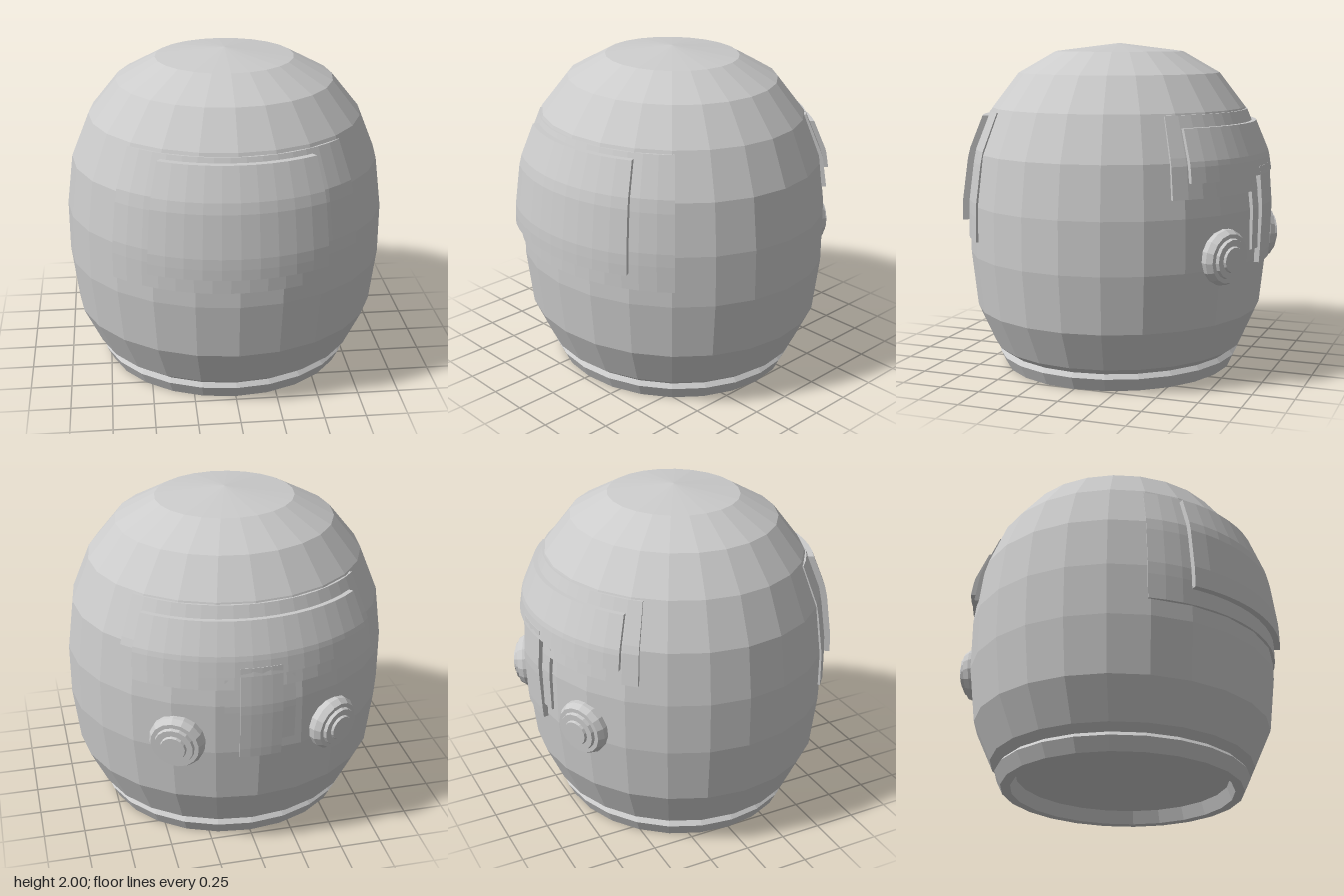
import * as THREE from 'three';

const DEPTH = 0.94; // the helmet is slightly shallower than wide
const SIDES = 24;
const material = new THREE.MeshStandardMaterial({ color: 0xcccccc, flatShading: true });

// Shell profile as [radius, height], bottom to top
const PROFILE = [
  [0.6, 0.1], [0.775, 0.105], [0.83, 0.145], [0.94, 0.38], [0.98, 0.72], [0.98, 1.03],
  [0.94, 1.34], [0.83, 1.61], [0.66, 1.82], [0.42, 1.95], [0, 2],
];

function shellRadius(y) {
  const i = PROFILE.findIndex((p) => p[1] >= y);
  const [r0, y0] = PROFILE[i - 1];
  const [r1, y1] = PROFILE[i];
  return r0 + ((r1 - r0) * (y - y0)) / (y1 - y0);
}

function add(parent, name, geometry) {
  const mesh = new THREE.Mesh(geometry, material);
  mesh.name = name;
  parent.add(mesh);
  return mesh;
}

function lathe(points, sides) {
  return new THREE.LatheGeometry(points.map(([r, y]) => new THREE.Vector2(r, y)), sides);
}

// A slab wrapped over the shell: half angle in degrees, height range, lift at bottom and top
function wrappedPlate(halfAngle, y0, y1, lift0, lift1 = lift0) {
  const columns = Math.max(4, Math.round(halfAngle / 3));
  const geometry = new THREE.BoxGeometry(1, 1, 1, columns, 10, 1);
  const pos = geometry.attributes.position;
  for (let i = 0; i < pos.count; i++) {
    const t = pos.getY(i) + 0.5;
    const y = y0 + (y1 - y0) * t;
    const lift = pos.getZ(i) > 0 ? lift0 + (lift1 - lift0) * t : -0.04;
    const r = shellRadius(y) + lift;
    const a = THREE.MathUtils.degToRad(pos.getX(i) * 2 * halfAngle);
    pos.setXYZ(i, r * Math.sin(a), y, r * Math.cos(a) * DEPTH);
  }
  geometry.computeVertexNormals();
  return geometry;
}

export function createModel() {
  const model = new THREE.Group();
  model.name = 'helmet';

  // Faceted shell
  add(model, 'shell', lathe(PROFILE, SIDES).scale(1, 1, DEPTH));

  // Neck collar with a recessed floor
  const collar = [[0, 0.08], [0.67, 0.08], [0.7, 0], [0.76, 0], [0.8, 0.08], [0.775, 0.108], [0.5, 0.11]];
  add(model, 'neckCollar', lathe(collar, SIDES).scale(1, 1, DEPTH));

  // Front visor: low frame and raised window
  add(model, 'visorFrame', wrappedPlate(46, 0.82, 1.59, 0.013, 0.006));
  add(model, 'visorWindow', wrappedPlate(30.2, 0.92, 1.56, 0.053, 0.045));

  // Rear plates: wide band and a strap hanging from its middle
  const rear = new THREE.Group();
  rear.name = 'rearPlates';
  rear.rotation.y = Math.PI;
  model.add(rear);
  add(rear, 'rearBandFrame', wrappedPlate(50, 1.14, 1.6, 0.022, 0.008));
  add(rear, 'rearBand', wrappedPlate(43.6, 1.23, 1.53, 0.052, 0.04));
  add(rear, 'rearStrapFrame', wrappedPlate(12, 0.79, 1.2, 0.012, 0.02));
  add(rear, 'rearStrap', wrappedPlate(7, 0.7, 1.28, 0.025, 0.052));

  // Stepped round knobs on either side of the strap
  const knob = [
    [0.165, -0.12], [0.165, 0], [0.145, 0.035], [0.12, 0.035], [0.115, 0.055],
    [0.078, 0.055], [0.073, 0.07], [0, 0.07],
  ];
  for (const side of [-1, 1]) {
    const mesh = add(model, side > 0 ? 'leftKnob' : 'rightKnob', lathe(knob, 16));
    mesh.position.set(side * 0.47, 0.785, -0.825);
    const outward = new THREE.Vector3(side * 0.47, -0.06, -0.88).normalize();
    mesh.quaternion.setFromUnitVectors(new THREE.Vector3(0, 1, 0), outward);
  }

  return model;
}
